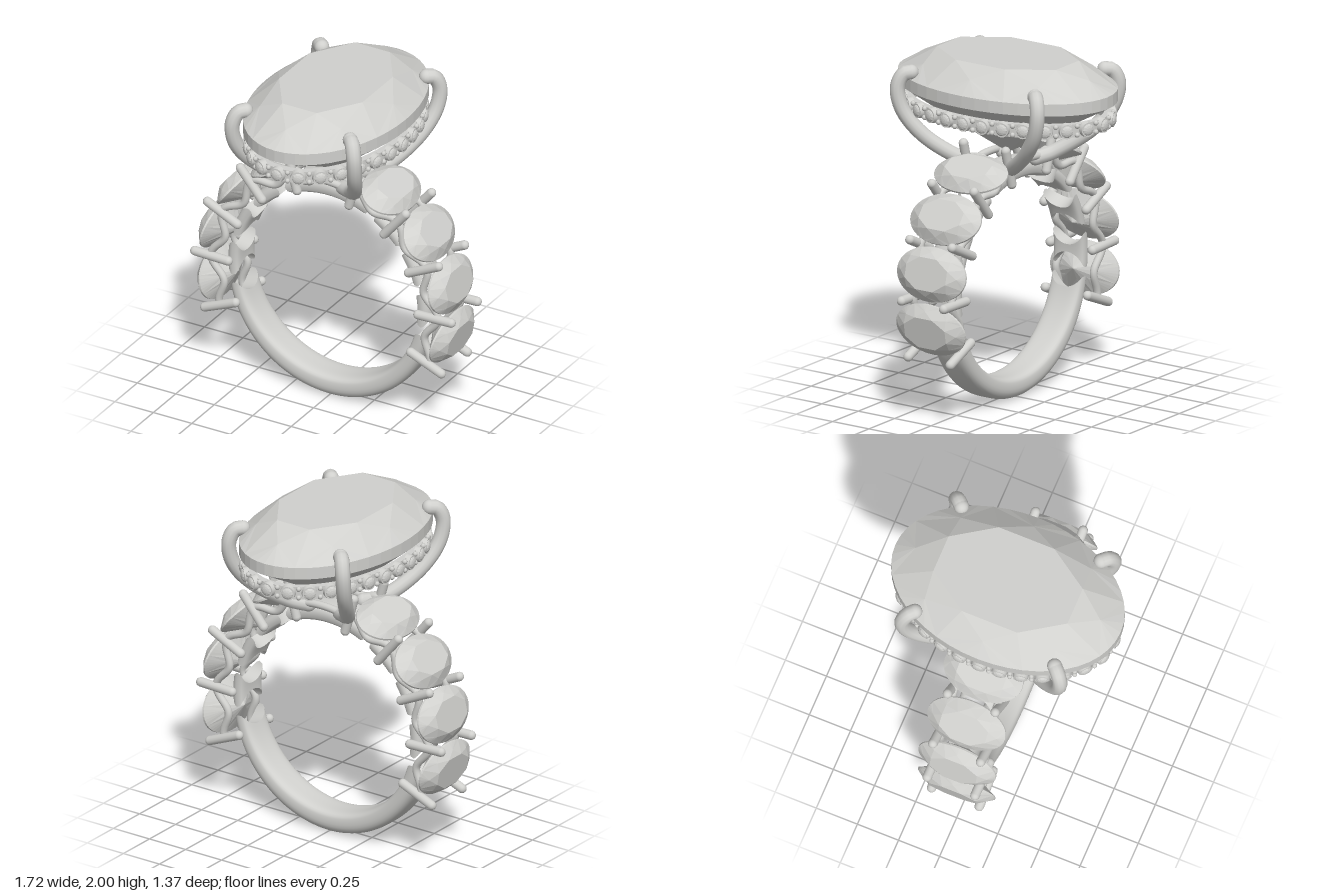
import * as THREE from 'three';
import { toCreasedNormals } from 'three/addons/utils/BufferGeometryUtils.js';

const RAD = Math.PI / 180;
const CY = 0.705;      // height of the ring centre
const STEP = 24.2;     // degrees between side stones
const FIRST = -10.6;   // angle of the lowest side stone
const INNER = 0.575;   // finger hole radius

const silver = new THREE.MeshStandardMaterial({ color: 0xd0d0cd });
silver.name = 'silver';

function mesh(name, geometry, parent) {
  const m = new THREE.Mesh(geometry, silver);
  m.name = name;
  parent.add(m);
  return m;
}

function fromTriangles(points) {
  const g = new THREE.BufferGeometry().setFromPoints(points);
  g.computeVertexNormals();
  return g;
}

// Oval brilliant: table, star, kite and girdle facets above; the same scheme below
function ovalGem(rx, rz, yTable, yCrown, yTop, yBottom, yPavilion, yCulet) {
  const out = [];
  const pt = (deg, s, y) => new THREE.Vector3(Math.cos(deg * RAD) * rx * s, y, -Math.sin(deg * RAD) * rz * s);
  const side = (flip, tableS, midS, yT, yM, yG) => {
    const tri = (a, b, c) => (flip ? out.push(a, c, b) : out.push(a, b, c));
    for (let k = 0; k < 8; k++) {
      const a = 45 * k, t0 = pt(a + 22.5, tableS, yT), t1 = pt(a + 67.5, tableS, yT);
      const s0 = pt(a, midS, yM), s1 = pt(a + 45, midS, yM), g = pt(a + 22.5, 1, yG);
      tri(new THREE.Vector3(0, yT, 0), t0, t1);
      tri(t0, s1, t1);
      tri(s0, g, t0);
      tri(t0, g, s1);
      for (let j = -3; j < 3; j++) tri(s0, pt(a + j * 7.5, 1, yG), pt(a + (j + 1) * 7.5, 1, yG));
    }
  };
  side(false, 0.645, 0.82, yTable, yCrown, yTop);
  side(true, 0.02, 0.4, yCulet, yPavilion, yBottom);
  for (let j = 0; j < 48; j++) {
    const b0 = pt(j * 7.5, 1, yBottom), b1 = pt(j * 7.5 + 7.5, 1, yBottom);
    const t0 = pt(j * 7.5, 1, yTop), t1 = pt(j * 7.5 + 7.5, 1, yTop);
    out.push(b0, b1, t1, b0, t1, t0);
  }
  return fromTriangles(out);
}

// Curved band section between two angles; both ends are scooped by a round stone seat
function bandSection(from, to, outerAt, steps) {
  const N = 16, W = 0.105, HOLE = 0.108, rows = [];
  for (let s = 0; s <= steps; s++) {
    const t = s / steps, row = [];
    const outer = outerAt(t), mid = (outer + INNER) / 2, h = (outer - INNER) / 2;
    const point = (i, sign) => {
      const z = W * Math.sin((i / N - 0.5) * Math.PI);
      const cut = Math.asin(Math.sqrt(HOLE * HOLE - z * z) / 0.63) / RAD;
      const a = THREE.MathUtils.lerp(from + cut, to - cut, t) * RAD;
      const k = Math.sqrt(Math.max(0, 1 - Math.pow(Math.abs(z) / W, 4)));
      const r = mid + sign * h * (sign > 0 ? k : Math.sqrt(k));
      return new THREE.Vector3(r * Math.cos(a), r * Math.sin(a) + CY, z);
    };
    for (let i = 0; i <= N; i++) row.push(point(i, 1));
    for (let i = N; i >= 0; i--) row.push(point(i, -1));
    rows.push(row);
  }
  const out = [], quad = (a, b, c, d) => out.push(a, b, c, a, c, d), L = 2 * N + 2;
  for (let s = 0; s < steps; s++) {
    const p = rows[s], q = rows[s + 1];
    for (let i = 0; i < L; i++) {
      const j = (i + 1) % L;
      quad(p[j], p[i], q[i], q[j]);
    }
  }
  const p = rows[0], q = rows[steps];
  for (let i = 0; i < N; i++) {
    quad(p[i], p[i + 1], p[L - 2 - i], p[L - 1 - i]);
    quad(q[L - 1 - i], q[L - 2 - i], q[i + 1], q[i]);
  }
  return toCreasedNormals(fromTriangles(out), 0.7);
}

function wire(points, radius, segments) {
  return new THREE.TubeGeometry(new THREE.CatmullRomCurve3(points), segments, radius, 12, false);
}

// Group whose local y points outward from the ring centre at the given angle
function radialGroup(name, deg, parent) {
  const g = new THREE.Group();
  g.name = name;
  g.position.y = CY;
  g.rotation.z = (deg - 90) * RAD;
  parent.add(g);
  return g;
}

export function createModel() {
  const ring = new THREE.Group();
  ring.name = 'ring';

  // Plain lower shank, slimmer towards the stones
  mesh('shank', bandSection(180 - FIRST, 360 + FIRST,
    t => 0.665 + 0.04 * Math.sin(Math.PI * t), 64), ring);

  // Scooped band blocks between the side stones, and the bridge under the centre stone
  for (let k = 0; k < 3; k++) {
    const a = FIRST + k * STEP;
    mesh('leftBandBlock', bandSection(a, a + STEP, () => 0.66, 8), ring);
    mesh('rightBandBlock', bandSection(180 - a - STEP, 180 - a, () => 0.66, 8), ring);
  }
  const last = FIRST + 3 * STEP;
  mesh('topBridge', bandSection(last, 180 - last, () => 0.68, 20), ring);

  // Side stones
  const sideGem = ovalGem(0.155, 0.235, 0.825, 0.8, 0.768, 0.757, 0.69, 0.645);
  for (let k = 0; k < 4; k++) {
    const a = FIRST + k * STEP;
    for (const deg of [a, 180 - a]) mesh('sideStone', sideGem, radialGroup('sideSetting', deg, ring));
  }

  // Straight claws in pairs between the side stones
  const claw = new THREE.CapsuleGeometry(0.027, 0.215, 6, 14);
  for (let k = 0; k < 5; k++) {
    const a = FIRST + (k - 0.5) * STEP;
    for (const deg of [a, 180 - a]) {
      const g = radialGroup('clawPair', deg, ring);
      for (const z of [-0.145, 0.145]) mesh('sideClaw', claw, g).position.set(0, 0.725, z);
    }
  }

  // Wavy gallery wires on both faces of the ring
  const start = FIRST - STEP / 2, end = 180 - start;
  for (const z of [-0.13, 0.13]) {
    const pts = [];
    for (let i = 0; i <= 136; i++) {
      const deg = start + (end - start) * i / 136;
      const fromTop = Math.abs(90 - deg), topHalf = 90 - (start + 4 * STEP);
      const r = fromTop < topHalf
        ? 0.7 + 0.037 * THREE.MathUtils.smoothstep(fromTop, topHalf - 8, topHalf)
        : 0.7 + 0.037 * Math.cos(2 * Math.PI * (fromTop - topHalf) / STEP);
      pts.push(new THREE.Vector3(r * Math.cos(deg * RAD), CY + r * Math.sin(deg * RAD), z));
    }
    mesh('galleryWire', wire(pts, 0.022, 220), ring);
  }

  // Large centre stone
  mesh('centreStone', ovalGem(0.455, 0.685, 2, 1.935, 1.86, 1.79, 1.565, 1.43), ring);

  // Halo rail under the centre stone
  const oval = new THREE.Shape().absellipse(0, 0, 0.425, 0.645, 0, Math.PI * 2);
  oval.holes.push(new THREE.Path().absellipse(0, 0, 0.385, 0.605, 0, Math.PI * 2, true));
  const railGeo = new THREE.ExtrudeGeometry(oval, { depth: 0.075, bevelEnabled: false, curveSegments: 64 });
  railGeo.rotateX(-Math.PI / 2);
  mesh('haloRail', railGeo, ring).position.y = 1.652;

  // Halo accents: round bezels with faceted domes, evenly spaced along the oval
  const bezel = new THREE.CylinderGeometry(0.042, 0.046, 0.034, 18).rotateX(Math.PI / 2);
  const dome = toCreasedNormals(new THREE.SphereGeometry(0.036, 10, 4, 0, Math.PI * 2, 0, Math.PI / 2)
    .scale(1, 0.45, 1).rotateX(Math.PI / 2), 0.1);
  const bead = new THREE.SphereGeometry(0.015, 8, 6);
  const path = new THREE.EllipseCurve(0, 0, 0.43, 0.65, 0, Math.PI * 2);
  path.arcLengthDivisions = 400;
  const COUNT = 28;
  for (let i = 0; i < COUNT; i++) {
    const place = (u, name) => {
      const p = path.getPointAt(u % 1), g = new THREE.Group();
      g.name = name;
      g.position.set(p.x, 1.692, p.y);
      g.rotation.y = Math.atan2(p.x / 0.43 ** 2 * 1, p.y / 0.65 ** 2);
      ring.add(g);
      return g;
    };
    const accent = place(i / COUNT, 'haloAccent');
    mesh('haloBezel', bezel, accent);
    mesh('haloStone', dome, accent).position.z = 0.014;
    const gap = place((i + 0.5) / COUNT, 'haloBeads');
    for (const y of [-0.026, 0.026]) mesh('haloBead', bead, gap).position.set(0, y, 0.004);
  }

  // Four curved claws rising from the bridge and gripping the centre stone
  const tip = new THREE.SphereGeometry(0.043, 16, 12);
  const profile = [[0.11, 1.38, 0.11], [0.2, 1.405, 0.17], [0.325, 1.54, 0.35], [0.385, 1.69, 0.455],
    [0.395, 1.82, 0.48], [0.37, 1.893, 0.455], [0.34, 1.9, 0.425]];
  for (const sx of [-1, 1]) for (const sz of [-1, 1]) {
    const pts = profile.map(([x, y, z]) => new THREE.Vector3(x * sx, y, z * sz));
    mesh('mainClaw', wire(pts, 0.043, 48), ring);
    for (const p of [pts[0], pts[pts.length - 1]]) mesh('mainClawTip', tip, ring).position.copy(p);
  }

  return ring;
}
